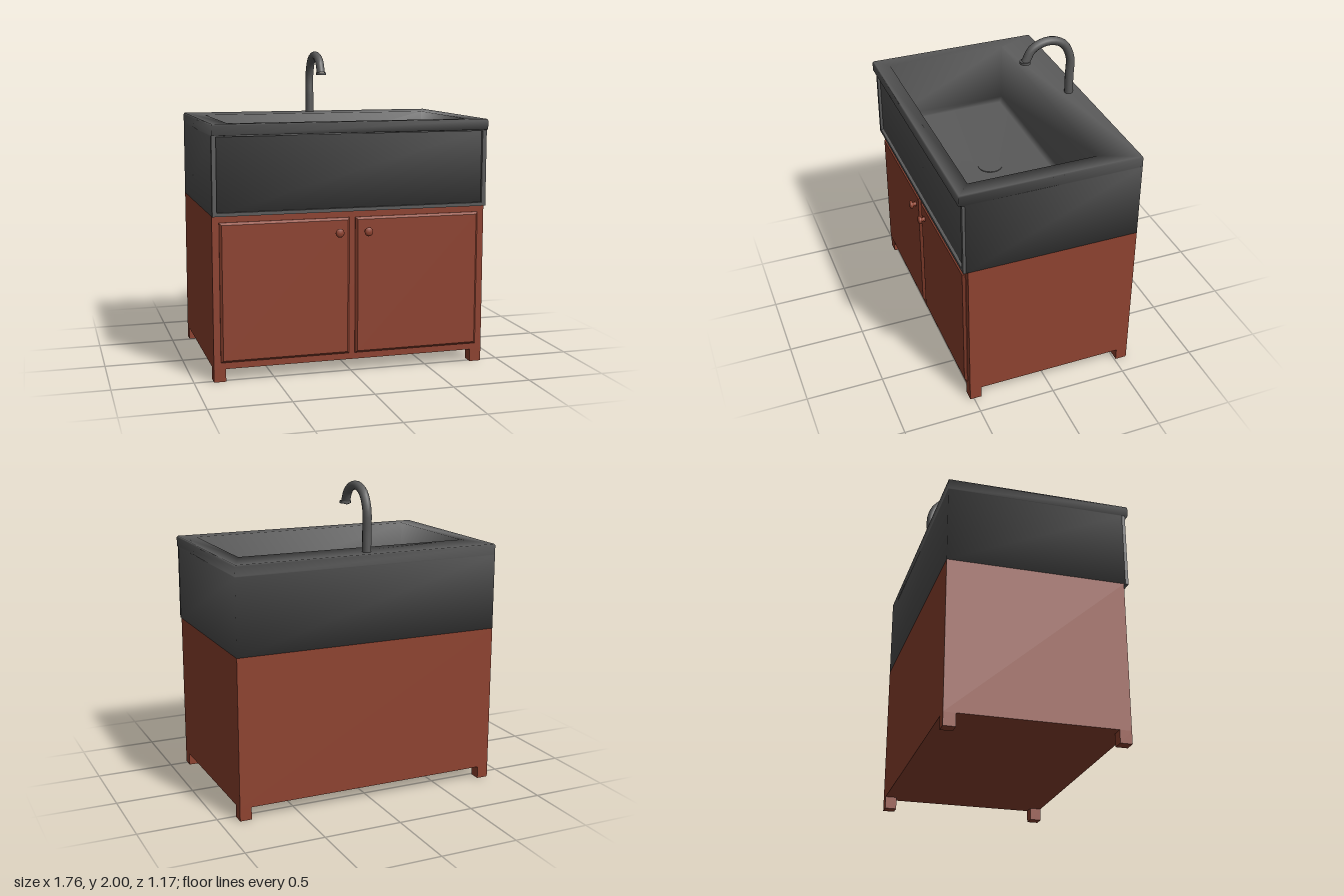
import * as THREE from 'three';

const wood = new THREE.MeshStandardMaterial({ color: 0x8f4330 });
const metal = new THREE.MeshStandardMaterial({ color: 0x5a5a5a });

function add(parent, name, geometry, material, x = 0, y = 0, z = 0) {
  const mesh = new THREE.Mesh(geometry, material);
  mesh.name = name;
  mesh.position.set(x, y, z);
  parent.add(mesh);
  return mesh;
}

function rectangle(Path, x0, y0, x1, y1) {
  const p = new Path();
  p.moveTo(x0, y0);
  p.lineTo(x1, y0);
  p.lineTo(x1, y1);
  p.lineTo(x0, y1);
  p.closePath();
  return p;
}

// Smooth skin over rectangular loops [y, half width, front z, back z], capped at both ends
function loopSkin(loops) {
  const positions = [], index = [];
  for (const [y, w, front, back] of loops) {
    positions.push(-w, y, front, w, y, front, w, y, back, -w, y, back);
  }
  for (let i = 0; i < loops.length - 1; i++) {
    for (let j = 0; j < 4; j++) {
      const a = i * 4 + j, b = i * 4 + (j + 1) % 4;
      index.push(a, b, b + 4, a, b + 4, a + 4);
    }
  }
  const e = (loops.length - 1) * 4;
  index.push(0, 2, 1, 0, 3, 2, e, e + 1, e + 2, e, e + 2, e + 3);
  const g = new THREE.BufferGeometry();
  g.setAttribute('position', new THREE.Float32BufferAttribute(positions, 3));
  g.setIndex(index);
  g.computeVertexNormals();
  return g;
}

function buildCabinet() {
  const cabinet = new THREE.Group();
  cabinet.name = 'cabinet';
  add(cabinet, 'cabinetBody', new THREE.BoxGeometry(1.76, 0.95, 1.11), wood, 0, 0.555, -0.03);

  // Four short square feet
  for (const x of [-0.8425, 0.8425]) {
    for (const z of [-0.5475, 0.4875]) {
      add(cabinet, 'foot', new THREE.BoxGeometry(0.075, 0.08, 0.075), wood, x, 0.04, z);
    }
  }

  // Pair of doors with chamfered edges
  const doorGeometry = new THREE.ExtrudeGeometry(
    rectangle(THREE.Shape, -0.395, -0.42, 0.395, 0.42),
    { depth: 0.005, bevelEnabled: true, bevelThickness: 0.015, bevelSize: 0.014, bevelSegments: 1 });

  // Turned knob: thin neck and rounded head
  const knobGeometry = new THREE.LatheGeometry([
    [0.018, 0], [0.013, 0.012], [0.014, 0.022], [0.026, 0.028],
    [0.028, 0.035], [0.024, 0.043], [0.014, 0.047], [0, 0.048],
  ].map(([r, y]) => new THREE.Vector2(r, y)), 16);
  knobGeometry.rotateX(Math.PI / 2);

  for (const side of [-1, 1]) {
    add(cabinet, 'door', doorGeometry, wood, side * 0.428, 0.555, 0.523);
    add(cabinet, 'doorKnob', knobGeometry, wood, side * 0.093, 0.9, 0.541);
  }
  return cabinet;
}

function buildSink() {
  const sink = new THREE.Group();
  sink.name = 'sink';

  // Outer walls, overhanging front lip, rim, then the deep basin
  add(sink, 'basin', loopSkin([
    [1.03, 0.88, 0.537, -0.585],
    [1.512, 0.88, 0.537, -0.585],
    [1.518, 0.88, 0.575, -0.585],
    [1.575, 0.88, 0.575, -0.585],
    [1.585, 0.875, 0.568, -0.582],
    [1.583, 0.77, 0.48, -0.335],
    [1.19, 0.765, 0.475, -0.33],
    [1.16, 0.74, 0.45, -0.305],
    [1.14, 0.08, 0.13, -0.03],
  ]), metal);

  // Narrow raised frame round the front apron
  const frame = rectangle(THREE.Shape, -0.88, 1.03, 0.88, 1.515);
  frame.holes.push(rectangle(THREE.Path, -0.853, 1.052, 0.853, 1.508));
  add(sink, 'apronFrame', new THREE.ExtrudeGeometry(frame, { depth: 0.02, bevelEnabled: false }),
    metal, 0, 0, 0.535);

  // Drain in the basin floor
  add(sink, 'drain', new THREE.CylinderGeometry(0.08, 0.08, 0.01, 20), metal, 0, 1.14, 0.05);
  return sink;
}

function buildFaucet() {
  const faucet = new THREE.Group();
  faucet.name = 'faucet';
  faucet.position.x = -0.005;

  // Upright pipe bending over into the spout
  const path = new THREE.CatmullRomCurve3([
    [1.575, -0.5], [1.7, -0.5], [1.84, -0.5], [1.935, -0.455], [1.972, -0.385],
    [1.972, -0.31], [1.935, -0.235], [1.855, -0.192],
  ].map(([y, z]) => new THREE.Vector3(0, y, z)), false, 'centripetal');
  add(faucet, 'faucetPipe', new THREE.TubeGeometry(path, 22, 0.028, 12), metal);

  // Collar at the mouth of the spout
  add(faucet, 'spoutCollar', new THREE.CylinderGeometry(0.035, 0.035, 0.016, 16), metal, 0, 1.856, -0.19);
  return faucet;
}

export function createModel() {
  const model = new THREE.Group();
  model.name = 'sinkCabinet';
  model.add(buildCabinet(), buildSink(), buildFaucet());
  return model;
}
